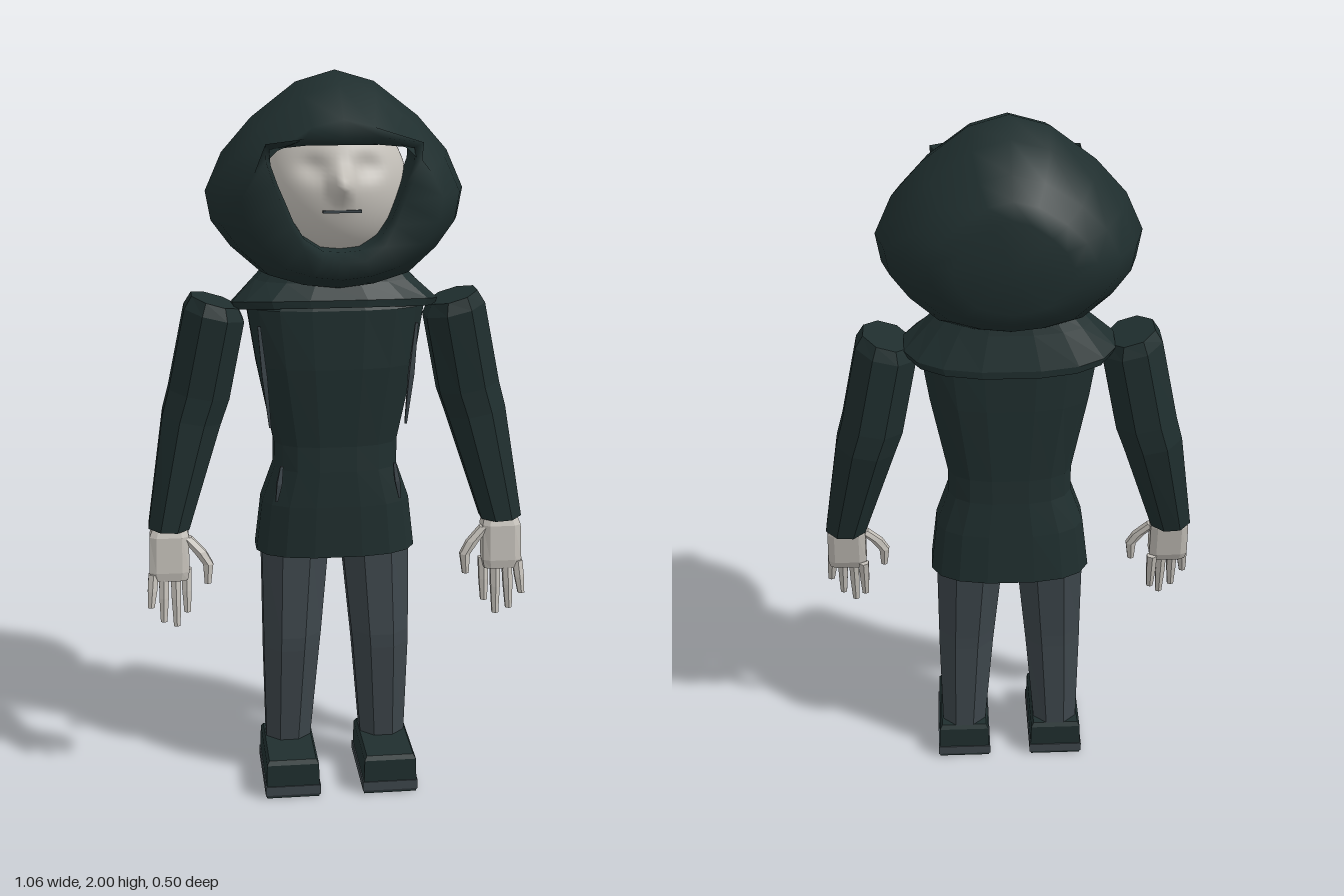
import * as THREE from 'three';

const mat = (name, color) => Object.assign(new THREE.MeshStandardMaterial({ color }), { name });

// Skin a list of equal-length rings, optionally capping either end
function skin(rings, { capStart = true, capEnd = true, smooth = false } = {}) {
  const n = rings[0].length, pos = rings.flat(2), idx = [];
  for (let i = 0; i < rings.length - 1; i++)
    for (let j = 0; j < n; j++) {
      const a = i * n + j, b = i * n + (j + 1) % n;
      idx.push(a, b, a + n, b, b + n, a + n);
    }
  const cap = (i, flip) => {
    const c = pos.length / 3;
    pos.push(...[0, 1, 2].map(k => rings[i].reduce((t, p) => t + p[k], 0) / n));
    for (let j = 0; j < n; j++) {
      const a = i * n + j, b = i * n + (j + 1) % n;
      idx.push(c, flip ? b : a, flip ? a : b);
    }
  };
  if (capStart) cap(0, true);
  if (capEnd) cap(rings.length - 1, false);
  let g = new THREE.BufferGeometry();
  g.setAttribute('position', new THREE.Float32BufferAttribute(pos, 3));
  g.setIndex(idx);
  if (!smooth) g = g.toNonIndexed();
  g.computeVertexNormals();
  return g;
}

// Loft from top to bottom: sections are [cx, cy, cz, rx, rz, tiltX, tiltZ]; s mirrors in x
function loft(sections, { n = 8, power = 1, s = 1, smooth = false } = {}) {
  const k = v => Math.sign(v) * Math.abs(v) ** power;
  return skin(sections.map(([cx, cy, cz, rx, rz, tx = 0, tz = 0]) =>
    Array.from({ length: n }, (_, j) => {
      const a = (j + 0.5) / n * Math.PI * 2, edge = k(Math.cos(Math.PI / n));
      const dx = rx * k(Math.cos(a)) / edge, dz = rz * k(Math.sin(a)) / edge;
      return [s * cx + dx, cy + s * tx * dx + tz * dz, cz + dz];
    })), { smooth });
}

export function createModel() {
  const model = new THREE.Group();
  const coat = mat('dark coat', 0x1f2e2e);
  const slate = mat('slate trousers', 0x3d464b);
  const skinTone = mat('pale skin', 0xc4c0b9);
  const add = (name, geo, m, parent = model) => {
    const mesh = new THREE.Mesh(geo, m);
    mesh.name = name;
    parent.add(mesh);
    return mesh;
  };

  // Hood: half outlines from top to bottom, mirrored into full rings
  const outer = [[0, 1], [0.3, 0.9], [0.64, 0.6], [0.87, 0.3], [1, -0.04],
    [0.96, -0.33], [0.81, -0.59], [0.58, -0.85], [0.29, -0.96], [0, -1]];
  const rimHalf = [[0, 1.845], [0.1, 1.845], [0.2, 1.835], [0.198, 1.79], [0.178, 1.73],
    [0.158, 1.68], [0.135, 1.62], [0.105, 1.57], [0.055, 1.535], [0, 1.53]];
  const rimZ = [0.222, 0.225, 0.24, 0.23, 0.218, 0.21, 0.212, 0.23, 0.24, 0.24];
  const full = half => [...half, ...half.slice(1, -1).reverse().map(([x, y, z]) => [-x, y, z])];
  const opening = z => full(rimHalf.map(([x, y]) => [x * 0.93, 1.69 + (y - 1.69) * 0.87, z]));
  const shell = [ // z, half width, top, bottom
    [0.2, 0.26, 1.89, 1.48], [0.1, 0.32, 1.97, 1.44], [0, 0.345, 2, 1.43],
    [-0.1, 0.32, 1.97, 1.45], [-0.18, 0.27, 1.91, 1.49], [-0.225, 0.21, 1.86, 1.53], [-0.252, 0.15, 1.82, 1.57],
  ].map(([z, w, top, bottom]) => full(outer.map(([x, v]) =>
    [x * w, 1.7 + v * (v > 0 ? top - 1.7 : 1.7 - bottom), z])));
  const rim = full(rimHalf.map(([x, y], i) => [x, y, rimZ[i]]));
  add('hood', skin([opening(0.06), opening(0.19), rim, ...shell], { capStart: false, smooth: true }), coat);

  // Face: ellipsoid with a raised nose and shallow eye hollows
  const face = new THREE.SphereGeometry(1, 64, 48).scale(0.19, 0.2, 0.165).translate(0, 1.7, 0.02);
  const p = face.attributes.position;
  const bump = (x, y, cx, cy, sx, sy) => Math.exp(-(((x - cx) / sx) ** 2) - ((y - cy) / sy) ** 2);
  for (let i = 0; i < p.count; i++) {
    const x = p.getX(i), y = p.getY(i), z = p.getZ(i);
    if (z < 0.05) continue;
    p.setZ(i, z + 0.06 * bump(x, y, 0, 1.725, 0.022, 0.035)
      - 0.02 * (bump(x, y, 0.07, 1.765, 0.04, 0.03) + bump(x, y, -0.07, 1.765, 0.04, 0.03)));
  }
  face.computeVertexNormals();
  add('face', face, skinTone);
  add('mouth', new THREE.BoxGeometry(0.1, 0.007, 0.008).translate(0, 1.655, 0.181), slate);

  // Coat body and collar
  add('coatBody', loft([
    [0, 1.43, 0, 0.17, 0.09], [0, 1.38, 0, 0.24, 0.112], [0, 1.22, 0, 0.215, 0.115],
    [0, 1.0, -0.005, 0.17, 0.105], [0, 0.93, -0.005, 0.17, 0.11],
    [0, 0.83, -0.01, 0.205, 0.118], [0, 0.685, -0.015, 0.222, 0.125],
  ], { n: 16, power: 0.75 }), coat);
  add('collar', loft([
    [0, 1.5, -0.02, 0.17, 0.09], [0, 1.45, -0.02, 0.215, 0.105],
    [0, 1.385, -0.02, 0.28, 0.135, 0, 0.18], [0, 1.365, -0.02, 0.27, 0.135, 0, 0.18],
  ], { n: 16, power: 0.8 }), coat);

  for (const s of [1, -1]) {
    const side = new THREE.Group();
    side.name = s > 0 ? 'leftLimbs' : 'rightLimbs';
    model.add(side);

    // Thin lining slivers showing along the front seams
    const sliver = (name, x0, y0, x1, y1, z) => add(name, loft([
      [x0, y0, z, 0.004, 0.004], [(x0 + x1) / 2, (y0 + y1) / 2, z, 0.007, 0.012],
      [x1, y1, z, 0.003, 0.004]], { n: 4, s }), slate, side);
    sliver('upperSeam', 0.212, 1.34, 0.185, 1.06, 0.092);
    sliver('lowerSeam', 0.155, 0.95, 0.17, 0.85, 0.098);

    // Sleeve
    add('sleeve', loft([
      [0.325, 1.395, 0, 0.062, 0.08, 0.3], [0.328, 1.36, 0, 0.08, 0.093, 0.25],
      [0.373, 1.14, -0.01, 0.082, 0.088, 0.2], [0.395, 1.07, -0.008, 0.079, 0.086, 0.2],
      [0.465, 0.77, 0.038, 0.056, 0.063, 0.06],
    ], { s }), coat, side);

    // Hand with four fingers and a thumb
    add('palm', loft([
      [0.463, 0.775, 0.045, 0.046, 0.03], [0.465, 0.75, 0.05, 0.054, 0.036],
      [0.467, 0.65, 0.062, 0.055, 0.03], [0.467, 0.625, 0.066, 0.05, 0.022],
    ], { n: 8, power: 0.5, s }), skinTone, side);
    [[0.42, 0.42, 0.525, 0.04], [0.45, 0.45, 0.492, 0.06], [0.482, 0.486, 0.51, 0.07], [0.511, 0.52, 0.555, 0.075]]
      .forEach(([x0, x1, tip, z], i) => add('finger' + (i + 1), loft([
        [x0, 0.645, z, 0.014, 0.014], [(x0 + x1) / 2, (0.645 + tip) / 2, z + 0.012, 0.013, 0.013],
        [x1, tip, z + 0.022, 0.009, 0.009],
      ], { n: 6, s }), skinTone, side));
    add('thumb', loft([
      [0.42, 0.745, 0.06, 0.016, 0.016], [0.382, 0.705, 0.07, 0.017, 0.015],
      [0.36, 0.67, 0.075, 0.014, 0.014], [0.362, 0.615, 0.08, 0.009, 0.01],
    ], { n: 6, s }), skinTone, side);

    // Trouser leg
    add('trouserLeg', loft([
      [0.112, 0.72, -0.01, 0.095, 0.082], [0.125, 0.44, 0.012, 0.081, 0.078],
      [0.127, 0.4, 0.012, 0.079, 0.076], [0.137, 0.1, -0.003, 0.063, 0.058],
    ], { s }), slate, side);

    // Shoe and sole
    add('shoe', loft([
      [0.138, 0.112, 0.062, 0.066, 0.122], [0.138, 0.1, 0.062, 0.073, 0.13], [0.138, 0.03, 0.062, 0.075, 0.131],
    ], { n: 4, s }), coat, side);
    add('sole', loft([
      [0.138, 0.036, 0.062, 0.078, 0.134], [0.138, 0.01, 0.062, 0.078, 0.134], [0.138, 0.004, 0.062, 0.074, 0.13],
    ], { n: 4, s }), slate, side);
    add('outsole', new THREE.BoxGeometry(0.148, 0.006, 0.26).translate(s * 0.138, 0.003, 0.062), coat, side);
  }
  return model;
}
